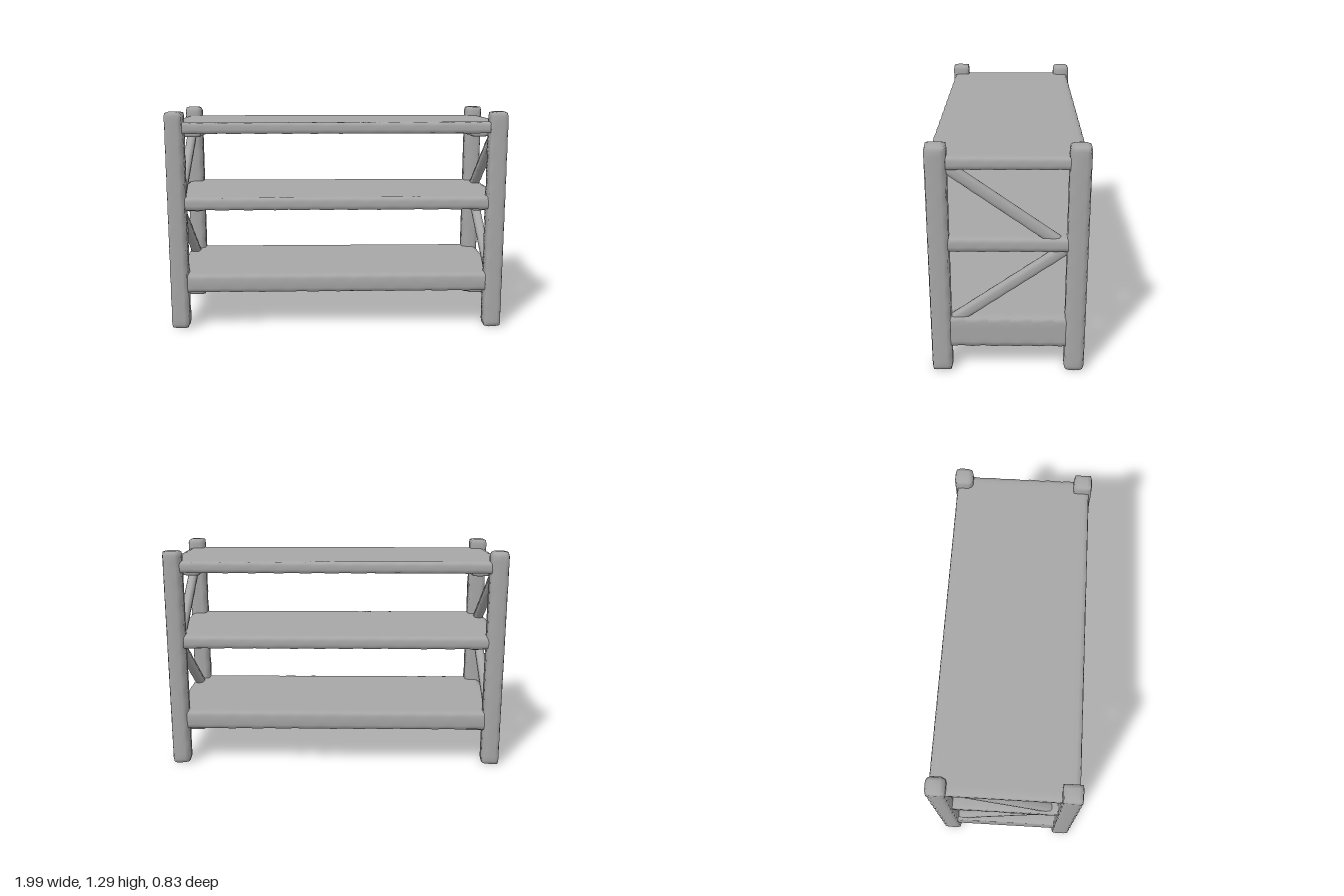
import * as THREE from 'three';
import { mergeVertices } from 'three/addons/utils/BufferGeometryUtils.js';

const CENTER_X = -0.007;

// Softly rounded box whose edges are slightly uneven, like hand-hewn timber
function hewnBox(w, h, d, radius, wobble, seed) {
  const n = (s) => Math.max(3, Math.round(s / 0.028));
  let geo = new THREE.BoxGeometry(w, h, d, n(w), n(h), n(d));
  geo.deleteAttribute('normal');
  geo.deleteAttribute('uv');
  geo = mergeVertices(geo, 1e-4);
  const pos = geo.attributes.position;
  const half = new THREE.Vector3(w / 2 - radius, h / 2 - radius, d / 2 - radius);
  const p = new THREE.Vector3(), core = new THREE.Vector3();
  for (let i = 0; i < pos.count; i++) {
    p.fromBufferAttribute(pos, i);
    core.copy(p).clamp(half.clone().negate(), half);
    const dir = p.clone().sub(core);
    const axes = dir.toArray().filter((v) => Math.abs(v) > 1e-4).length;
    const noise = Math.sin(p.x * 41 + seed) + Math.sin(p.y * 47 + seed * 2.3) + Math.sin(p.z * 53 + seed * 1.7);
    // only the edges are uneven; faces stay flat
    const r = axes > 1 ? radius + wobble * noise : radius;
    dir.setLength(r);
    p.copy(core).add(dir);
    pos.setXYZ(i, p.x, p.y, p.z);
  }
  geo.computeVertexNormals();
  return geo;
}

export function createModel() {
  const model = new THREE.Group();
  model.name = 'shelvingRack';
  const grey = new THREE.MeshStandardMaterial({ color: 0xa6a6a6 });
  grey.name = 'grey';

  const add = (name, geo, x, y, z) => {
    const mesh = new THREE.Mesh(geo, grey);
    mesh.name = name;
    mesh.position.set(x + CENTER_X, y, z);
    model.add(mesh);
    return mesh;
  };

  // Four corner posts
  for (const sx of [-1, 1]) {
    for (const sz of [-1, 1]) {
      const name = (sz > 0 ? 'front' : 'back') + (sx > 0 ? 'Left' : 'Right') + 'Post';
      add(name, hewnBox(0.104, 1.295, 0.11, 0.02, 0.002, sx * 2 + sz), sx * 0.942, 0.6475, sz * 0.361);
    }
  }

  // Three shelves, each with a recessed batten below both ends
  const shelves = [
    { name: 'bottom', y0: 0.22, y1: 0.33, batten: 0.19 },
    { name: 'middle', y0: 0.72, y1: 0.795, batten: 0.70 },
    { name: 'top', y0: 1.168, y1: 1.235, batten: 1.143 },
  ];
  shelves.forEach(({ name, y0, y1, batten }, i) => {
    add(name + 'Shelf', hewnBox(1.962, y1 - y0, 0.805, 0.014, 0.0018, i * 3 + 1), 0, (y0 + y1) / 2, 0);
    for (const sx of [-1, 1]) {
      const top = y0 + 0.02;
      add(name + 'Batten', hewnBox(0.1, top - batten, 0.66, 0.01, 0.001, i + sx), sx * 0.85, (batten + top) / 2, 0);
    }
  });

  for (const sx of [-1, 1]) {
    // Deep rail at the foot of each end
    add('endRail', hewnBox(0.08, 0.172, 0.68, 0.015, 0.0025, 5 + sx), sx * 0.942, 0.237, 0);

    // One diagonal per bay; the two ends slope opposite ways
    const bays = [
      { name: 'upperBrace', y: 0.952, slope: 1 },
      { name: 'lowerBrace', y: 0.509, slope: -1 },
    ];
    for (const { name, y, slope } of bays) {
      const brace = add(name, hewnBox(0.055, 0.062, 0.77, 0.016, 0.001, y * 9 + sx), sx * 0.94, y, 0);
      brace.rotation.x = -sx * slope * Math.atan(0.717);
    }
  }
  return model;
}
